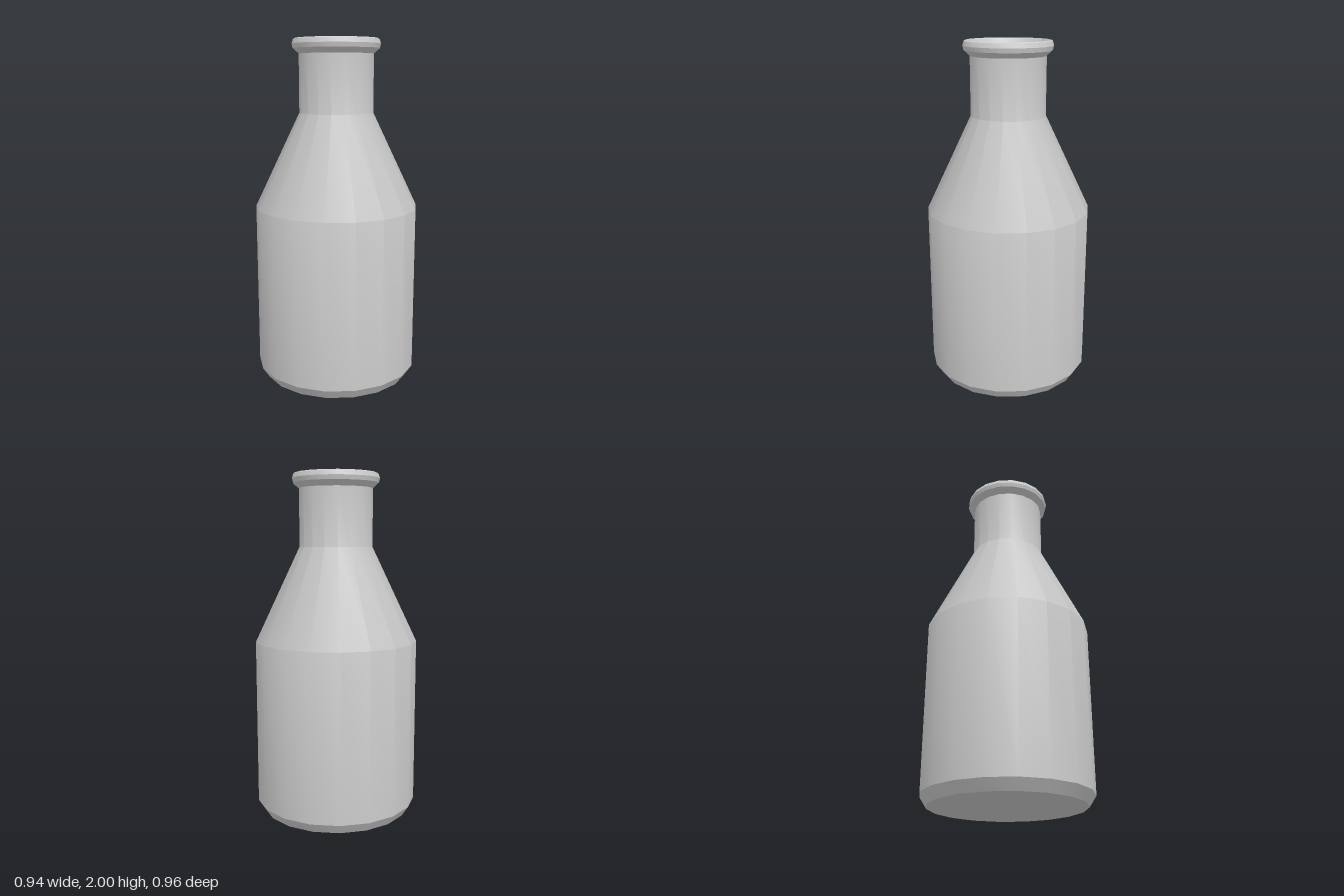
import * as THREE from 'three';
import { toCreasedNormals } from 'three/addons/utils/BufferGeometryUtils.js';

const SIDES = 18;

export function createModel() {
  const model = new THREE.Group();
  model.name = 'bottle';
  const material = new THREE.MeshStandardMaterial({ color: 0xcccccc });

  // Revolves a [radius, height] profile around the y axis
  const addLathe = (name, profile) => {
    const points = profile.map(([r, y]) => new THREE.Vector2(r, y));
    const geometry = toCreasedNormals(new THREE.LatheGeometry(points, SIDES), THREE.MathUtils.degToRad(30));
    const mesh = new THREE.Mesh(geometry, material);
    mesh.name = name;
    model.add(mesh);
  };

  // Outer wall: base, bevelled foot, straight body, sloping shoulder, neck
  addLathe('outerWall', [
    [0, 0], [0.44, 0], [0.479, 0.06], [0.479, 1.03], [0.216, 1.58], [0.216, 1.915],
  ]);

  // Flared lip around the open mouth
  addLathe('lip', [
    [0.216, 1.915], [0.25, 1.945], [0.256, 1.97], [0.248, 1.995], [0.24, 2], [0.233, 1.99], [0.208, 1.915],
  ]);

  // Thin inner wall running down to the floor
  addLathe('innerWall', [
    [0.208, 1.915], [0.208, 1.578], [0.47, 1.028], [0.47, 0.064], [0.435, 0.01], [0, 0.01],
  ]);

  return model;
}
